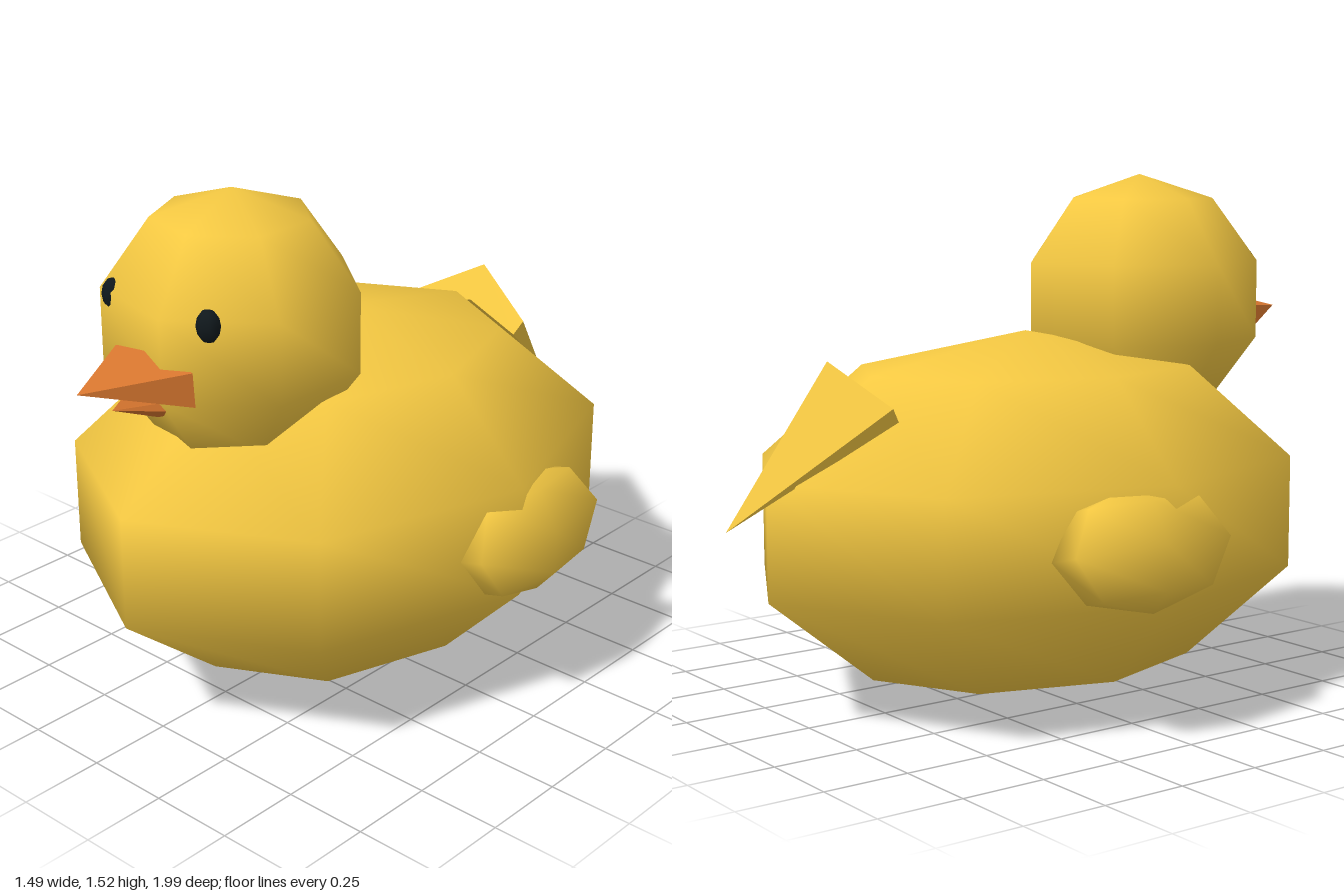
import * as THREE from 'three';

const yellow = new THREE.MeshStandardMaterial({ color: 0xf4c842 });
const yellowFlat = new THREE.MeshStandardMaterial({ color: 0xf4c842, flatShading: true });
const orange = new THREE.MeshStandardMaterial({ color: 0xd9772f, flatShading: true });
const black = new THREE.MeshStandardMaterial({ color: 0x10181c });

// Low-poly ellipsoid with smooth normals
function ellipsoid(name, material, [across, rings], radii, position) {
  const mesh = new THREE.Mesh(new THREE.SphereGeometry(1, across, rings), material);
  mesh.name = name;
  mesh.scale.set(...radii);
  mesh.position.set(...position);
  return mesh;
}

// Pointed spike on a mirrored chevron base. Each side corner is given once;
// a positive x suits a tip facing +z, a negative x a tip facing -z.
function chevronSpike(name, material, { upper, ridge, groove, lower, tip }) {
  const mirror = ([x, y, z]) => [-x, y, z];
  const loop = [upper, ridge, mirror(upper), mirror(lower), groove, lower];
  const points = [];
  const face = (...corners) => corners.forEach((c) => points.push(...c));
  loop.forEach((p, i) => face(p, loop[(i + 1) % loop.length], tip));
  // base cap, two quads meeting at the centre line
  const [a, b, c, d, e, f] = loop;
  face(a, f, e);
  face(a, e, b);
  face(b, e, d);
  face(b, d, c);
  const geometry = new THREE.BufferGeometry();
  geometry.setAttribute('position', new THREE.Float32BufferAttribute(points, 3));
  geometry.computeVertexNormals();
  const mesh = new THREE.Mesh(geometry, material);
  mesh.name = name;
  return mesh;
}

export function createModel() {
  const duck = new THREE.Group();
  duck.name = 'duck';

  // Body and head
  duck.add(ellipsoid('body', yellow, [8, 5], [0.715, 0.535, 0.915], [0, 0.535, 0]));
  duck.add(ellipsoid('head', yellow, [7, 5], [0.377, 0.377, 0.377], [0, 1.145, 0.43]));

  // Eyes and wings, mirrored
  for (const [side, s] of [['left', 1], ['right', -1]]) {
    duck.add(ellipsoid(side + 'Eye', black, [8, 6], [0.036, 0.046, 0.03], [s * 0.18, 1.25, 0.7]));
    const wing = ellipsoid(side + 'Wing', yellow, [6, 4], [0.107, 0.176, 0.312], [s * 0.638, 0.53, -0.08]);
    wing.rotation.z = s * 0.26;
    duck.add(wing);
  }

  // Beak
  duck.add(chevronSpike('upperBeak', orange, {
    upper: [0.148, 1.12, 0.73], ridge: [0, 1.16, 0.73],
    groove: [0, 1.06, 0.73], lower: [0.155, 1.025, 0.73], tip: [0, 1.1, 0.995],
  }));
  duck.add(chevronSpike('lowerBeak', orange, {
    upper: [0.09, 1.025, 0.72], ridge: [0, 0.995, 0.72],
    groove: [0, 0.95, 0.72], lower: [0.1, 0.995, 0.72], tip: [0, 1.02, 0.88],
  }));

  // Tail
  duck.add(chevronSpike('tail', yellowFlat, {
    upper: [-0.215, 0.905, -0.6], ridge: [0, 1.02, -0.675],
    groove: [0, 0.92, -0.61], lower: [-0.2, 0.865, -0.573], tip: [0, 0.58, -0.995],
  }));

  return duck;
}
